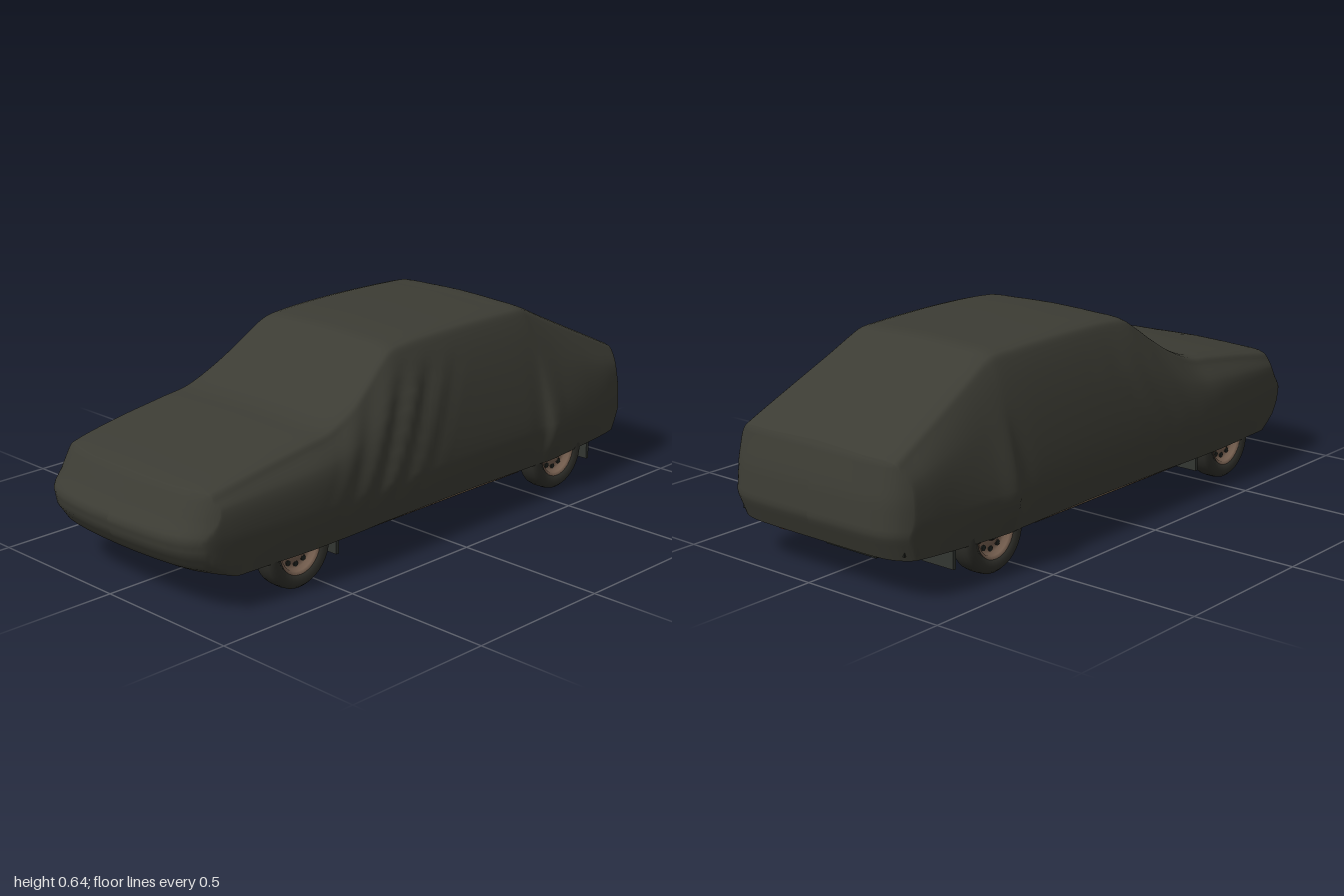
import * as THREE from 'three';

const mat = (name, hex, side = THREE.FrontSide) => {
  const m = new THREE.MeshStandardMaterial({ color: hex, side });
  m.name = name;
  return m;
};

// Piecewise linear lookup in [[in, out], ...]
function lookup(table, v) {
  if (v <= table[0][0]) return table[0][1];
  for (let i = 1; i < table.length; i++) {
    const [a, p] = table[i - 1], [b, q] = table[i];
    if (v <= b) return p + (q - p) * (v - a) / (b - a);
  }
  return table[table.length - 1][1];
}

// End faces of the cover: z as a function of x and y, rounded towards the corners
const NOSE = [[0.11, 0.9], [0.14, 0.955], [0.19, 0.99], [0.24, 1.0], [0.28, 0.97], [0.35, 0.93], [0.37, 0.915]];
const TAIL = [[0.12, -0.965], [0.2, -1.0], [0.3, -0.99], [0.4, -0.965], [0.43, -0.95]];
const noseZ = (x, y) => lookup(NOSE, y) - 0.028 * (x / 0.33) ** 2 - 0.03 * (x / 0.33) ** 8;
const tailZ = (x, y) => lookup(TAIL, y) + 0.035 * (x / 0.33) ** 8;

// Stations: z, hem y, hem half-width, widest, shoulder, roof edge half-width, top y
const STATIONS = [
  [-0.985, 0.125, 0.31, 0.326, 0.319, 0.3, 0.412],
  [-0.95, 0.125, 0.335, 0.35, 0.341, 0.311, 0.422],
  [-0.88, 0.125, 0.355, 0.367, 0.352, 0.308, 0.455],
  [-0.75, 0.118, 0.363, 0.38, 0.352, 0.297, 0.517],
  [-0.62, 0.113, 0.37, 0.394, 0.347, 0.284, 0.58],
  [-0.54, 0.112, 0.375, 0.405, 0.346, 0.277, 0.62],
  [-0.5, 0.112, 0.372, 0.388, 0.343, 0.277, 0.635],
  [-0.42, 0.112, 0.37, 0.388, 0.345, 0.28, 0.64],
  [-0.15, 0.115, 0.37, 0.388, 0.348, 0.283, 0.644],
  [0.05, 0.115, 0.372, 0.389, 0.351, 0.283, 0.637],
  [0.12, 0.115, 0.373, 0.39, 0.355, 0.286, 0.626],
  [0.17, 0.115, 0.374, 0.391, 0.36, 0.294, 0.595],
  [0.24, 0.115, 0.375, 0.394, 0.367, 0.308, 0.544],
  [0.32, 0.114, 0.377, 0.397, 0.374, 0.323, 0.493],
  [0.42, 0.113, 0.378, 0.4, 0.381, 0.331, 0.451],
  [0.52, 0.112, 0.377, 0.399, 0.383, 0.333, 0.436],
  [0.7, 0.112, 0.368, 0.384, 0.371, 0.333, 0.41],
  [0.85, 0.108, 0.35, 0.364, 0.354, 0.328, 0.383],
  [0.91, 0.112, 0.336, 0.35, 0.341, 0.318, 0.369],
  [0.95, 0.125, 0.308, 0.329, 0.322, 0.302, 0.357],
];
const HALF = 28;

// Full cross-section from the left hem over the top to the right hem
function section([z, yb, xb, xm, xs, xt, yt]) {
  const half = new THREE.CatmullRomCurve3([
    [xb, yb], [xm - 0.004, 0.19], [xm, 0.25], [xs, 0.25 + (yt - 0.25) * 0.52],
    [xt + 0.007, yt - 0.038], [xt - 0.014, yt - 0.015], [xt * 0.5, yt - 0.004], [0, yt],
  ].map(([x, y]) => new THREE.Vector3(x, y, z))).getPoints(HALF);
  const mirrored = half.slice(0, -1).reverse().map(p => new THREE.Vector3(-p.x, p.y, p.z));
  return half.concat(mirrored);
}

// Folds sweeping forward and down from the windscreen pillar, deeper on the left
function fold(p) {
  const s = p.z + 0.6 * (p.y - 0.35);
  const along = Math.max(0, 1 - Math.abs(s - 0.18) / 0.28);
  const up = THREE.MathUtils.smoothstep(p.y, 0.16, 0.32) * (1 - THREE.MathUtils.smoothstep(p.y, 0.5, 0.6));
  const side = THREE.MathUtils.smoothstep(Math.abs(p.x), 0.3, 0.34);
  return (p.x > 0 ? 0.008 : 0.0025) * along * up * side * Math.sin(s * 52);
}

function coverGeometry() {
  const rings = STATIONS.map(section);
  const cols = rings[0].length;
  const steps = (STATIONS.length - 1) * 8;
  const rows = Array.from({ length: steps + 1 }, () => []);
  for (let j = 0; j < cols; j++) {
    const curve = new THREE.CatmullRomCurve3(rings.map(r => r[j]));
    curve.getPoints(steps).forEach((p, i) => {
      p.x += Math.sign(p.x) * fold(p);
      p.z = Math.max(Math.min(p.z, noseZ(p.x, p.y)), tailZ(p.x, p.y));
      rows[i].push(p);
    });
  }
  // Close both ends with rows drawn in to the centre line
  const front = rows[steps], back = rows[0];
  for (const s of [0.97, 0.92, 0.85, 0.7, 0.5, 0.25, 0]) {
    rows.push(front.map(p => new THREE.Vector3(p.x * s, p.y, noseZ(p.x * s, p.y))));
    rows.unshift(back.map(p => new THREE.Vector3(p.x * s, p.y, tailZ(p.x * s, p.y))));
  }
  const index = [];
  for (let i = 0; i < rows.length - 1; i++) {
    for (let j = 0; j < cols - 1; j++) {
      const a = i * cols + j, c = a + cols;
      index.push(a, a + 1, c, a + 1, c + 1, c);
    }
  }
  const g = new THREE.BufferGeometry().setFromPoints(rows.flat());
  g.setIndex(index);
  g.computeVertexNormals();
  return g;
}

// Cloth tucked under the nose: a side profile swept across and bowed
function chinGeometry() {
  const shape = new THREE.Shape([[-0.945, 0.14], [-0.9, 0.107], [-0.85, 0.086], [-0.81, 0.1], [-0.8, 0.125], [-0.85, 0.14]]
    .map(p => new THREE.Vector2(...p)));
  const g = new THREE.ExtrudeGeometry(shape, { depth: 0.62, steps: 16, bevelEnabled: false });
  g.translate(0, 0, -0.31).rotateY(Math.PI / 2).rotateY(0);
  const pos = g.attributes.position;
  for (let i = 0; i < pos.count; i++) {
    const q = (pos.getX(i) / 0.31) ** 2;
    pos.setY(i, pos.getY(i) + 0.02 * q);
    pos.setZ(i, pos.getZ(i) - 0.06 * q);
  }
  g.computeVertexNormals();
  return g;
}

export function createModel() {
  const model = new THREE.Group();
  model.name = 'coveredCar';
  const cloth = mat('coverCloth', 0x3c3c34, THREE.DoubleSide);
  const rubber = mat('tyreRubber', 0x2e2e29);
  const rimMetal = mat('rustyRim', 0x786151, THREE.DoubleSide);
  const dark = mat('underbodyDark', 0x20231f);
  const steel = mat('chassisSteel', 0x333632);
  const rust = mat('exhaustRust', 0x6a4130);
  const darkRust = mat('floorRust', 0x3f2822);
  const sillTan = mat('sillTan', 0x86705a);

  const add = (name, geometry, material, x = 0, y = 0, z = 0, parent = model) => {
    const m = new THREE.Mesh(geometry, material);
    m.name = name;
    m.position.set(x, y, z);
    parent.add(m);
    return m;
  };
  const box = (name, w, h, d, material, x, y, z) => add(name, new THREE.BoxGeometry(w, h, d), material, x, y, z);
  const tube = (name, pts, r, material) => add(name, new THREE.TubeGeometry(
    new THREE.CatmullRomCurve3(pts.map(p => new THREE.Vector3(...p)), false, 'catmullrom', 0.2), 40, r, 8), material);

  add('cover', coverGeometry(), cloth);
  add('coverChin', chinGeometry(), cloth);

  // Wheels
  const v2 = pts => pts.map(p => new THREE.Vector2(...p));
  const tyreGeo = new THREE.LatheGeometry(v2([[0.076, -0.03], [0.1, -0.0385], [0.115, -0.036], [0.123, -0.027],
    [0.125, -0.012], [0.125, 0.012], [0.123, 0.027], [0.115, 0.036], [0.1, 0.0385], [0.076, 0.03], [0.076, -0.03]]), 36);
  const rimGeo = new THREE.LatheGeometry(v2([[0.082, -0.034], [0.074, -0.03], [0.073, 0.01], [0.074, 0.03], [0.08, 0.034],
    [0.07, 0.029], [0.066, 0.014], [0.05, 0.01], [0.036, 0.02], [0.026, 0.02]]), 32);
  const holeGeo = new THREE.CylinderGeometry(0.009, 0.009, 0.008, 10);
  const wheel = (name, side, z) => {
    const g = new THREE.Group();
    g.name = name;
    g.position.set(side * 0.332, 0.125, z);
    g.rotation.z = -side * Math.PI / 2;
    add('tyre', tyreGeo, rubber, 0, 0, 0, g);
    add('rim', rimGeo, rimMetal, 0, 0, 0, g);
    add('hub', new THREE.CylinderGeometry(0.02, 0.027, 0.014, 20), steel, 0, 0.023, 0, g);
    add('brakeDrum', new THREE.CylinderGeometry(0.05, 0.05, 0.03, 24), dark, 0, -0.015, 0, g);
    for (let k = 0; k < 10; k++) {
      const a = k * Math.PI / 5;
      add('rimHole', holeGeo, dark, 0.052 * Math.cos(a), 0.011, 0.052 * Math.sin(a), g);
    }
    model.add(g);
  };

  for (const s of [1, -1]) {
    wheel('frontWheel', s, 0.58);
    wheel('rearWheel', s, -0.6);
    // Mud flaps
    box('frontMudFlap', 0.12, 0.08, 0.012, steel, s * 0.298, 0.1, 0.42);
    box('rearMudFlap', 0.12, 0.08, 0.012, steel, s * 0.298, 0.1, -0.77);
    // Sills and floor beside the wheels
    box('sideFloor', 0.13, 0.02, 0.82, dark, s * 0.29, 0.14, -0.01);
    box('sill', 0.014, 0.032, 0.8, dark, s * 0.35, 0.119, -0.01);
    box('sillFace', 0.004, 0.03, 0.8, sillTan, s * 0.359, 0.121, -0.01);
    box('rearCornerFloor', 0.1, 0.02, 0.17, dark, s * 0.28, 0.15, -0.86);
    // Chassis rails and floor ribs
    box('chassisRail', 0.03, 0.025, 0.6, steel, s * 0.2, 0.12, 0.1);
    box('frontRail', 0.035, 0.035, 0.38, steel, s * 0.18, 0.13, 0.64);
    box('floorRib', 0.02, 0.012, 0.4, steel, s * 0.11, 0.126, -0.05);
    box('floorRustPatch', 0.07, 0.006, 0.13, darkRust, s * 0.08, 0.129, -0.46);
    // Suspension
    tube('frontArm', [[s * 0.12, 0.12, 0.5], [s * 0.31, 0.11, 0.58]], 0.011, steel);
    tube('frontStrut', [[s * 0.12, 0.12, 0.66], [s * 0.31, 0.11, 0.58]], 0.011, steel);
    box('rearSpring', 0.025, 0.014, 0.48, steel, s * 0.24, 0.112, -0.58);
  }
  box('seatFloorRust', 0.09, 0.006, 0.2, darkRust, -0.26, 0.129, 0.15);
  box('rearFloorRust', 0.09, 0.006, 0.14, darkRust, -0.26, 0.129, -0.3);

  // Underbody
  box('floorPan', 0.48, 0.02, 1.8, dark, 0, 0.14, -0.03);
  box('tunnel', 0.09, 0.02, 0.9, dark, 0, 0.128, 0);
  box('gearbox', 0.1, 0.04, 0.2, dark, 0, 0.118, 0.36);
  box('engineSump', 0.15, 0.05, 0.18, dark, 0, 0.11, 0.6);
  box('frontCrossMember', 0.46, 0.025, 0.05, dark, 0, 0.1, 0.5);
  box('fuelTank', 0.2, 0.05, 0.17, dark, -0.1, 0.125, -0.84);
  add('rearAxle', new THREE.CylinderGeometry(0.016, 0.016, 0.6, 12), steel, 0, 0.125, -0.6).rotation.z = Math.PI / 2;
  add('differential', new THREE.SphereGeometry(0.036, 16, 12), dark, 0, 0.128, -0.6);
  add('driveShaft', new THREE.CylinderGeometry(0.012, 0.012, 0.85, 10), dark, 0, 0.122, -0.17).rotation.x = Math.PI / 2;

  // Exhaust
  tube('exhaustPipe', [[0.13, 0.15, 0.64], [0.165, 0.105, 0.57], [0.07, 0.1, 0.33], [0, 0.1, 0.18], [0, 0.1, -0.27],
    [0.12, 0.113, -0.44], [0.15, 0.15, -0.6], [0.18, 0.13, -0.72], [0.18, 0.13, -0.95]], 0.011, rust);
  const silencer = (name, len, x, y, z) => {
    const m = add(name, new THREE.CylinderGeometry(0.036, 0.036, len, 18), rust, x, y, z);
    m.rotation.x = Math.PI / 2;
    m.scale.z = 0.6;
  };
  silencer('middleSilencer', 0.18, 0, 0.105, 0.1);
  silencer('rearSilencer', 0.18, 0.18, 0.125, -0.84);
  return model;
}
